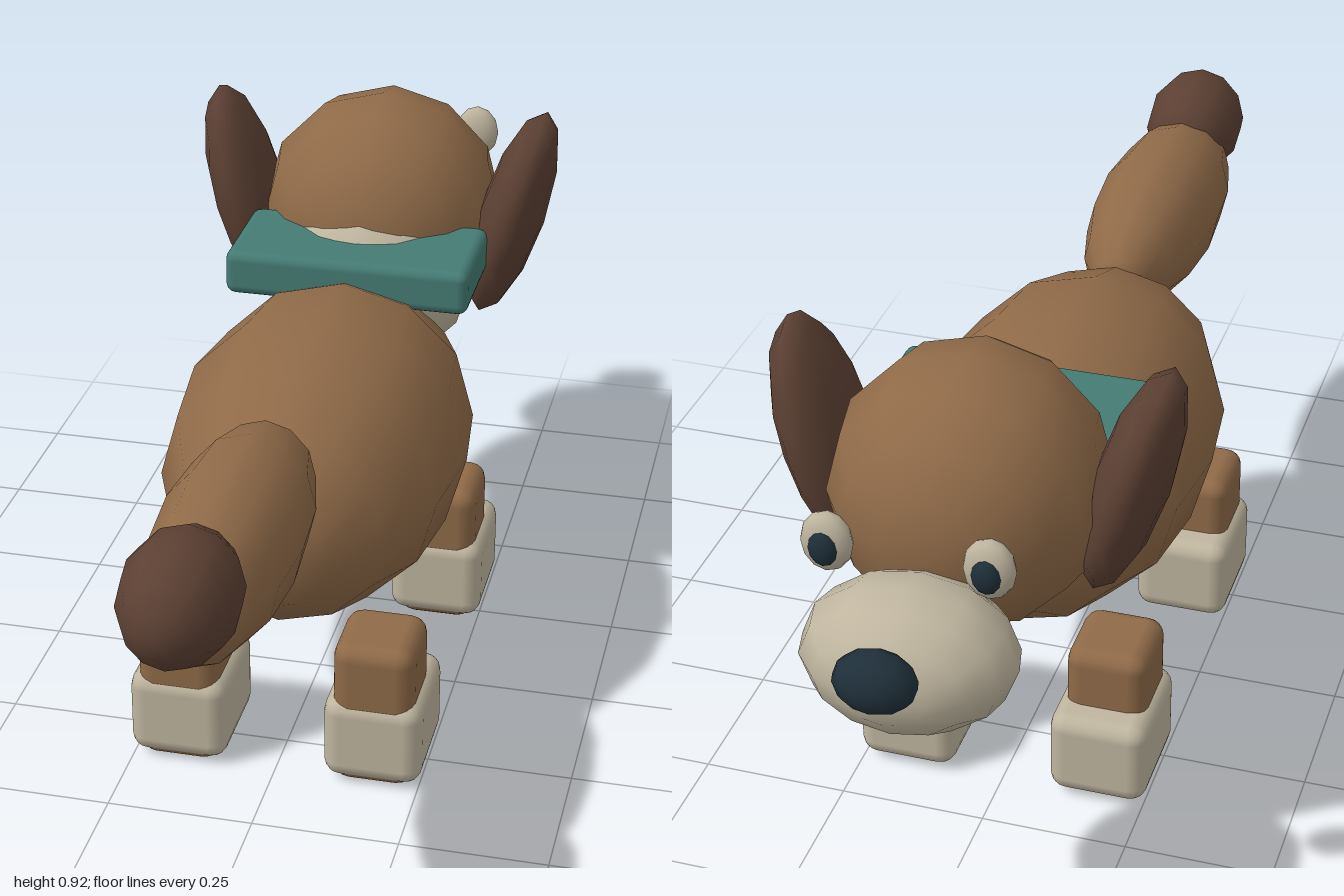
import * as THREE from 'three';
import { RoundedBoxGeometry } from 'three/addons/geometries/RoundedBoxGeometry.js';

const paint = (color) => new THREE.MeshStandardMaterial({ color });

export function createModel() {
  const dog = new THREE.Group();
  dog.name = 'dog';
  const brown = paint(0x8f6a48);
  const darkBrown = paint(0x5c4033);
  const cream = paint(0xbfb59f);
  const teal = paint(0x457b74);
  const navy = paint(0x1f2f3a);

  // Low-poly ball with its poles along z, stretched to the given radii
  const ball = new THREE.SphereGeometry(1, 12, 8).rotateX(Math.PI / 2);

  function place(mesh, name, position) {
    mesh.name = name;
    mesh.position.set(...position);
    dog.add(mesh);
    return mesh;
  }
  function blob(name, material, position, radii) {
    const mesh = place(new THREE.Mesh(ball, material), name, position);
    mesh.scale.set(...radii);
    return mesh;
  }
  function block(name, material, position, size, radius) {
    const geometry = new RoundedBoxGeometry(...size, 2, radius);
    return place(new THREE.Mesh(geometry, material), name, position);
  }

  // Body, chest and tail
  blob('body', brown, [0, 0.46, 0], [0.26, 0.25, 0.435]);
  blob('chest', cream, [0, 0.61, -0.4], [0.19, 0.17, 0.17]);
  blob('tail', brown, [0, 0.605, 0.6], [0.115, 0.13, 0.315]);
  blob('tailTip', darkBrown, [0, 0.665, 0.873], [0.092, 0.1, 0.127]);

  // Head, muzzle and nose
  blob('head', brown, [0, 0.69, -0.515], [0.225, 0.23, 0.225]);
  blob('muzzle', cream, [0, 0.575, -0.81], [0.17, 0.117, 0.135]);
  blob('nose', navy, [0, 0.625, -0.955], [0.065, 0.05, 0.045]);

  // Collar slab across the back of the neck
  block('collar', teal, [0, 0.68, -0.295], [0.44, 0.082, 0.22], 0.018);

  for (const side of [-1, 1]) {
    // Ears lean outward at the top
    const ear = blob('ear', darkBrown, [side * 0.25, 0.72, -0.483], [0.06, 0.207, 0.113]);
    ear.rotation.z = -side * 0.27;

    // Eyes standing above the muzzle
    blob('eye', cream, [side * 0.125, 0.745, -0.804], [0.041, 0.051, 0.024]);
    blob('pupil', navy, [side * 0.125, 0.742, -0.819], [0.024, 0.031, 0.016]);

    // Legs run through the paws, which sit slightly forward
    for (const z of [-0.281, 0.277]) {
      block('leg', brown, [side * 0.17, 0.136, z], [0.14, 0.27, 0.152], 0.03);
      block('paw', cream, [side * 0.17, 0.088, z - 0.023], [0.17, 0.156, 0.21], 0.03);
    }
  }
  return dog;
}
